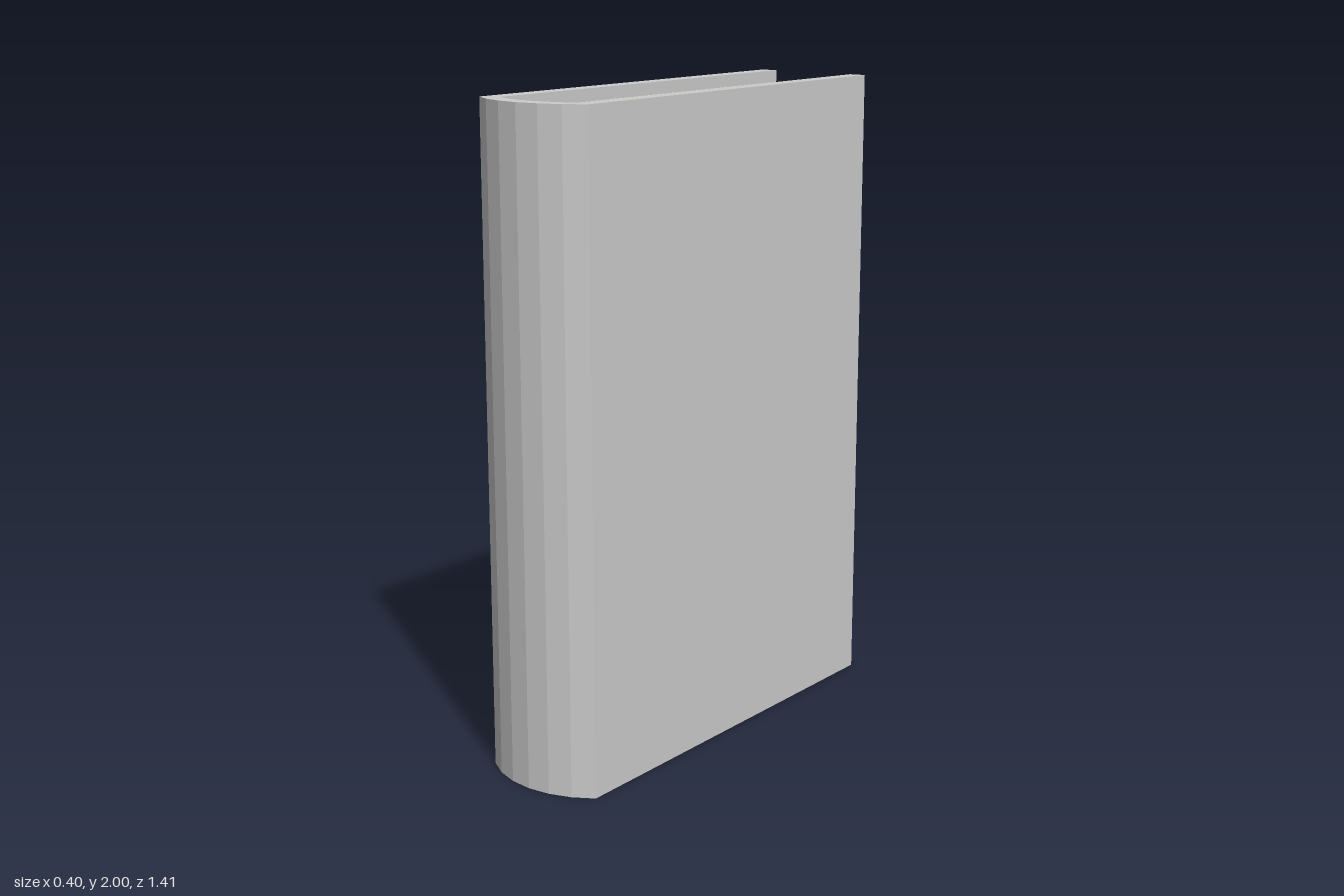
import * as THREE from 'three';

const BACK = -0.707;

// Points [x, z] of a shallow forward-bulging arc from -half to +half
function arcPoints(half, zEnd, zPeak, segments = 6) {
  const sag = zPeak - zEnd;
  const r = (half * half + sag * sag) / (2 * sag);
  const sweep = Math.asin(half / r);
  const points = [];
  for (let i = 0; i <= segments; i++) {
    const a = sweep * (2 * i / segments - 1);
    points.push([r * Math.sin(a), zPeak - r + r * Math.cos(a)]);
  }
  return points;
}

// Stand a plan outline of [x, z] points upright between two heights
function upright(name, outline, y0, y1, color) {
  const shape = new THREE.Shape(outline.map(([x, z]) => new THREE.Vector2(x, -z)));
  const geometry = new THREE.ExtrudeGeometry(shape, { depth: y1 - y0, bevelEnabled: false });
  geometry.rotateX(-Math.PI / 2).translate(0, y0, 0);
  const mesh = new THREE.Mesh(geometry, new THREE.MeshStandardMaterial({ color, flatShading: true }));
  mesh.name = name;
  return mesh;
}

export function createModel() {
  const book = new THREE.Group();
  book.name = 'book';

  const outer = arcPoints(0.2, 0.638, 0.707);
  const inner = arcPoints(0.145, 0.613, 0.65);

  // Cover: two boards joined by a rounded spine
  book.add(upright('cover', [
    [-0.2, BACK], ...outer, [0.2, BACK],
    [0.145, BACK], ...inner.slice().reverse(), [-0.145, BACK],
  ], 0, 2, 0xcccccc));

  // Page block: rests against one board, with a narrow gap at the other
  const right = 0.132;
  const front = inner.filter(([x]) => x < right);
  book.add(upright('pages', [
    [-0.145, -0.67], ...front, [right, 0.619], [right, -0.67],
  ], 0.038, 1.962, 0xf4f48c));

  return book;
}
